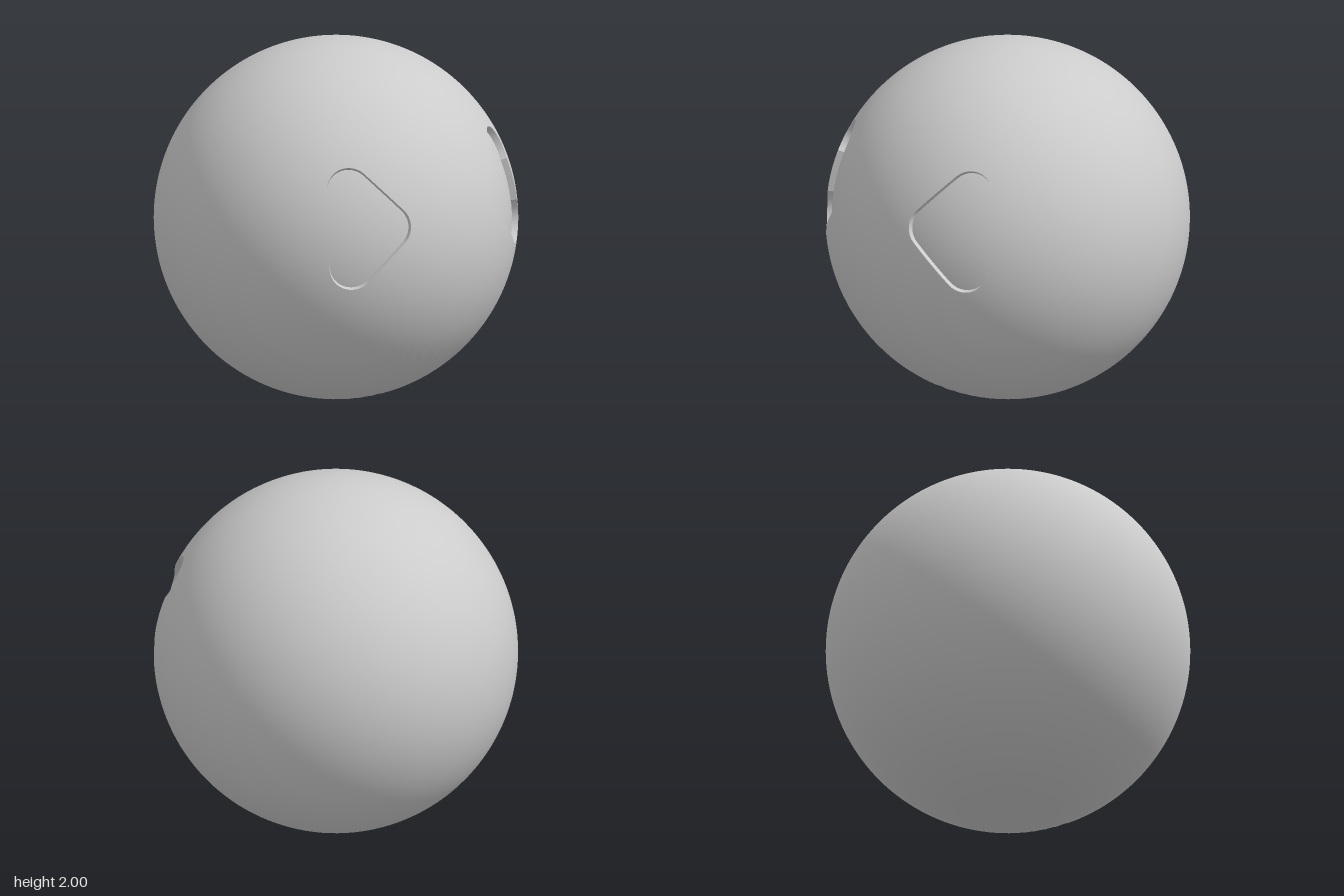
import * as THREE from 'three';
import { mergeGeometries, mergeVertices, toCreasedNormals } from 'three/addons/utils/BufferGeometryUtils.js';

const DEPTH = 0.035; // depth of the eye recess
const R = 0.125; // half width of a chevron arm
const ARM = 0.21; // reach of each arm along u and v
const APEX = -0.14; // centre of the rounded chevron corner
const EYE_TILT = new THREE.Euler(-0.24, 0.603, 0, 'YXZ');

// Place a point of the eye's plane on the unit sphere
function onSphere(u, v) {
  return new THREE.Vector3(u, v, Math.sqrt(1 - u * u - v * v)).applyEuler(EYE_TILT);
}

// Rounded chevron outline, counter-clockwise
function chevronOutline() {
  const q = Math.PI / 4;
  const path = new THREE.Path();
  path.moveTo(APEX + R * Math.SQRT2, 0);
  path.absarc(APEX + ARM, ARM, R, -q, 3 * q);
  path.absarc(APEX, 0, R, 3 * q, 5 * q);
  path.absarc(APEX + ARM, -ARM, R, 5 * q, 9 * q);
  path.closePath();
  return path.curves
    .flatMap((c) => c.getPoints(c.isLineCurve ? 24 : 40).slice(0, -1))
    .map((p) => onSphere(p.x, p.y));
}

// Closed strip of quads: n columns around, rings 0..m outward
function strip(n, m, pointAt) {
  const pos = [], nor = [], index = [];
  for (let i = 0; i < n; i++) {
    for (let j = 0; j <= m; j++) {
      const p = pointAt(i, j / m);
      pos.push(p.x, p.y, p.z);
      p.normalize();
      nor.push(p.x, p.y, p.z);
      if (j === m) continue;
      const a = i * (m + 1) + j;
      const d = ((i + 1) % n) * (m + 1) + j;
      index.push(a, a + 1, d + 1, a, d + 1, d);
    }
  }
  const g = new THREE.BufferGeometry();
  g.setAttribute('position', new THREE.Float32BufferAttribute(pos, 3));
  g.setAttribute('normal', new THREE.Float32BufferAttribute(nor, 3));
  g.setIndex(index);
  return g;
}

// Mirror across x = 0, keeping faces outward
function mirrored(geometry) {
  const g = geometry.clone().scale(-1, 1, 1);
  const ix = g.index.array;
  for (let i = 0; i < ix.length; i += 3) [ix[i], ix[i + 1]] = [ix[i + 1], ix[i]];
  return g;
}

export function createModel() {
  const group = new THREE.Group();
  const material = new THREE.MeshStandardMaterial({ color: 0xcccccc, roughness: 0.8 });
  const add = (name, geometry) => {
    const mesh = new THREE.Mesh(geometry, material);
    mesh.name = name;
    mesh.position.y = 1;
    group.add(mesh);
  };

  // Great-circle rays from the chevron corner through each outline point
  const outline = chevronOutline();
  const n = outline.length;
  const hub = onSphere(APEX, 0);
  const rays = outline.map((p) => {
    const t = p.clone().addScaledVector(hub, -p.dot(hub)).normalize();
    return { t, rim: hub.angleTo(p), edge: Math.atan2(hub.x, -t.x) };
  });
  const along = (ray, angle) =>
    hub.clone().multiplyScalar(Math.cos(angle)).addScaledVector(ray.t, Math.sin(angle));

  // Ball: each half runs from the eye rim out to the middle plane
  const half = strip(n, 44, (i, s) => along(rays[i], THREE.MathUtils.lerp(rays[i].rim, rays[i].edge, s)));
  add('ball', mergeVertices(mergeGeometries([half, mirrored(half)]), 1e-5));

  // Eyes: sunken floor and the wall around it
  const floor = strip(n, 8, (i, s) => along(rays[i], rays[i].rim * s).multiplyScalar(1 - DEPTH));
  const wall = strip(n, 1, (i, s) => outline[i].clone().multiplyScalar(1 - DEPTH * (1 - s)));
  add('leftEyeFloor', floor);
  add('rightEyeFloor', mirrored(floor));
  add('leftEyeWall', toCreasedNormals(wall, 0.6));
  add('rightEyeWall', toCreasedNormals(mirrored(wall), 0.6));

  return group;
}
